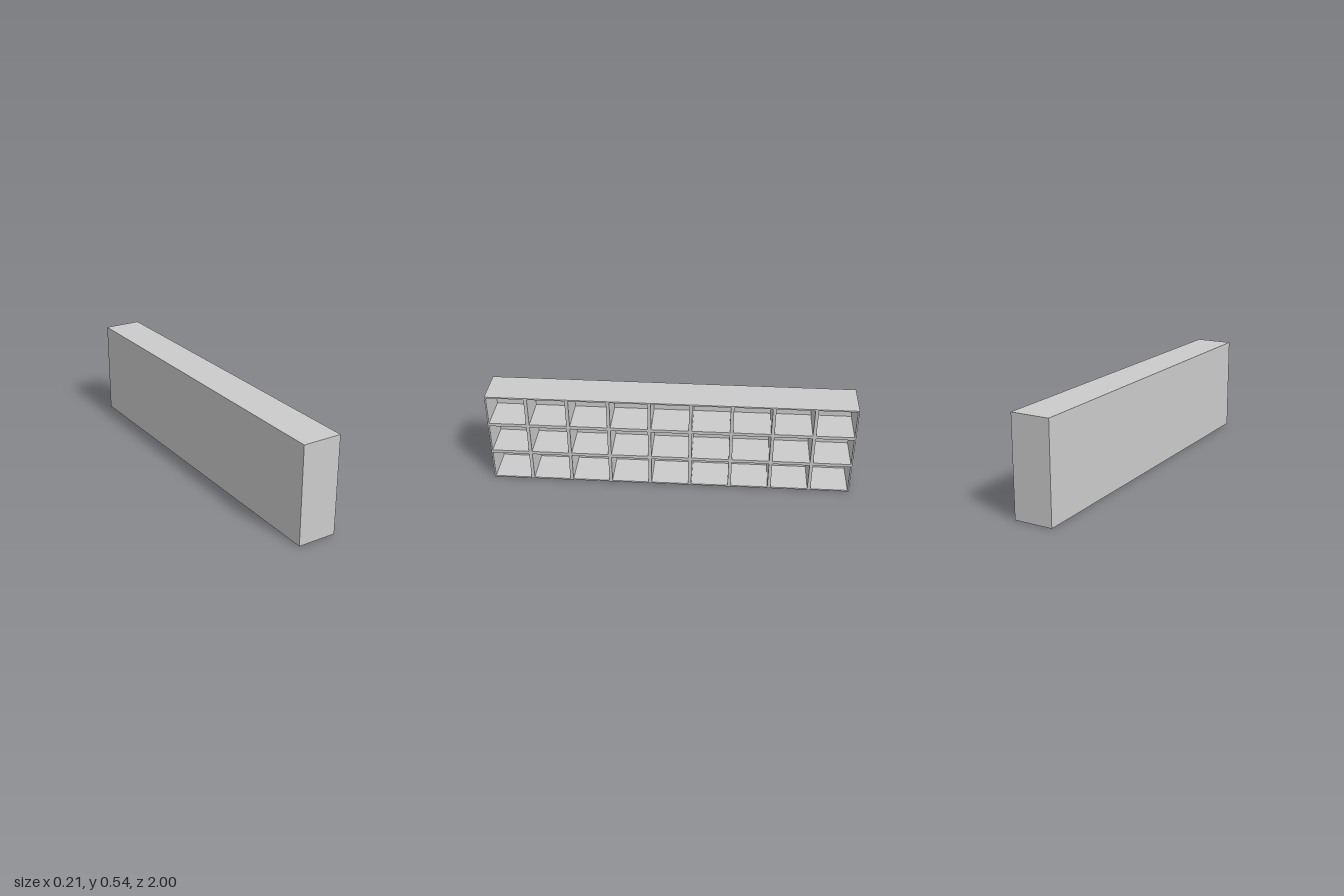
import * as THREE from 'three';

const LENGTH = 2, HEIGHT = 0.537, DEPTH = 0.213;
const WALL = 0.008, DIVIDER = 0.018, BACK = 0.008;
const COLUMNS = 9, ROWS = 3;

// Adds a closed rectangle to a shape or path
function rect(path, x, y, w, h) {
  path.moveTo(x, y);
  path.lineTo(x + w, y);
  path.lineTo(x + w, y + h);
  path.lineTo(x, y + h);
  path.closePath();
  return path;
}

export function createModel() {
  const group = new THREE.Group();
  group.name = 'cubbyShelf';
  const material = new THREE.MeshStandardMaterial({ color: 0xcccccc });

  // Frame with dividers: one slab pierced by a grid of compartments
  const cellW = (LENGTH - 2 * WALL - (COLUMNS - 1) * DIVIDER) / COLUMNS;
  const cellH = (HEIGHT - 2 * WALL - (ROWS - 1) * DIVIDER) / ROWS;
  const outline = rect(new THREE.Shape(), -LENGTH / 2, 0, LENGTH, HEIGHT);
  for (let c = 0; c < COLUMNS; c++) {
    for (let r = 0; r < ROWS; r++) {
      const x = -LENGTH / 2 + WALL + c * (cellW + DIVIDER);
      const y = WALL + r * (cellH + DIVIDER);
      outline.holes.push(rect(new THREE.Path(), x, y, cellW, cellH));
    }
  }
  const frameGeometry = new THREE.ExtrudeGeometry(outline, { depth: DEPTH - BACK, bevelEnabled: false });
  frameGeometry.rotateY(Math.PI / 2); // compartments open towards +x
  const frame = new THREE.Mesh(frameGeometry, material);
  frame.name = 'compartmentFrame';
  frame.position.x = -DEPTH / 2 + BACK;
  group.add(frame);

  // Back panel closing the compartments on the -x side
  const back = new THREE.Mesh(new THREE.BoxGeometry(BACK, HEIGHT, LENGTH), material);
  back.name = 'backPanel';
  back.position.set(-DEPTH / 2 + BACK / 2, HEIGHT / 2, 0);
  group.add(back);

  return group;
}
